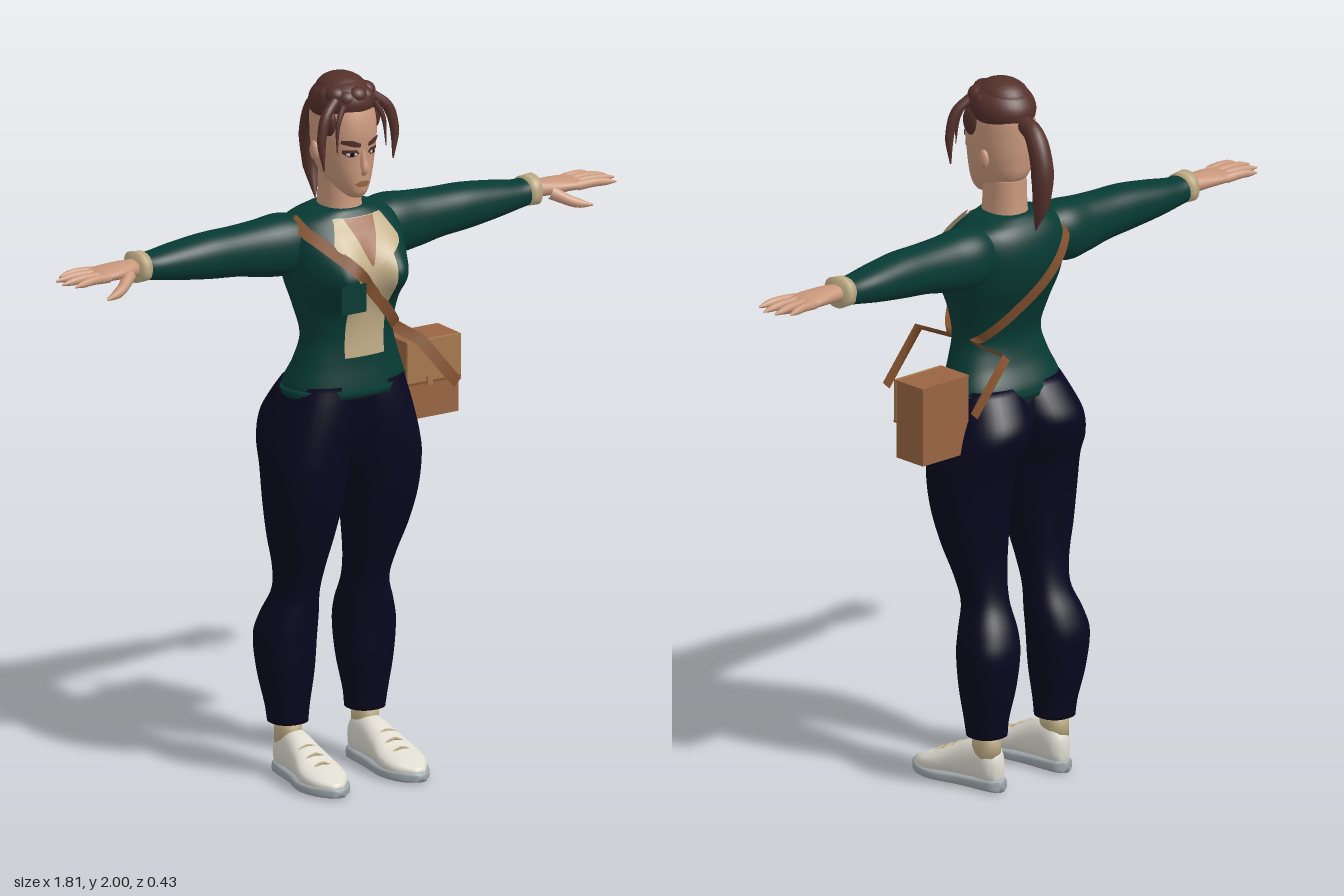
import * as THREE from 'three';

const mat = (name, color, side = THREE.FrontSide) => {
  const m = new THREE.MeshStandardMaterial({ color, side });
  m.name = name;
  return m;
};

// Smooth interpolation of a table of rows [t, a0, a1, b0, b1]
function sample(rows, t) {
  let i = 0;
  while (i < rows.length - 2 && t > rows[i + 1][0]) i++;
  const r0 = rows[i], r1 = rows[i + 1], h = r1[0] - r0[0];
  const u = THREE.MathUtils.clamp((t - r0[0]) / h, 0, 1);
  const slope = (j, k) => {
    const p = rows[Math.max(0, j - 1)], n = rows[Math.min(rows.length - 1, j + 1)];
    return (n[k] - p[k]) / (n[0] - p[0]);
  };
  return [1, 2, 3, 4].map(k => {
    const m0 = slope(i, k) * h, m1 = slope(i + 1, k) * h, d = r1[k] - r0[k];
    return r0[k] + u * (m0 + u * (3 * d - 2 * m0 - m1 + u * (m0 + m1 - 2 * d)));
  });
}

// Capped superellipse loft along an axis; rows ascend in t and give bounds across it
function loft(rows, axis = 'y', { p = 2.3, steps = 40, segs = 36, bend } = {}) {
  const pos = [], idx = [], t0 = rows[0][0], t1 = rows.at(-1)[0];
  const put = (a, b, t) => {
    const v = axis === 'y' ? [a, t, b] : axis === 'x' ? [t, a, b] : [a, b, t];
    if (bend) v[2] += bend(...v);
    pos.push(...v);
  };
  const tri = (a, b, c) => axis === 'y' ? idx.push(a, c, b) : idx.push(a, b, c);
  const pw = v => Math.sign(v) * Math.abs(v) ** (2 / p);
  for (let i = 0; i <= steps; i++) {
    const t = t0 + (t1 - t0) * i / steps, [a0, a1, b0, b1] = sample(rows, t);
    for (let j = 0; j < segs; j++) {
      const q = j / segs * Math.PI * 2;
      put((a0 + a1) / 2 + (a1 - a0) / 2 * pw(Math.cos(q)), (b0 + b1) / 2 + (b1 - b0) / 2 * pw(Math.sin(q)), t);
      if (i < steps) {
        const a = i * segs + j, b = i * segs + (j + 1) % segs;
        tri(a, b, a + segs);
        tri(b, b + segs, a + segs);
      }
    }
  }
  for (const [r, base] of [[rows[0], 0], [rows.at(-1), steps * segs]]) {
    const c = pos.length / 3;
    put((r[1] + r[2]) / 2, (r[3] + r[4]) / 2, r[0]);
    for (let j = 0; j < segs; j++) {
      const a = base + j, b = base + (j + 1) % segs;
      base ? tri(c, a, b) : tri(c, b, a);
    }
  }
  return build(pos, idx);
}

function build(pos, idx) {
  const g = new THREE.BufferGeometry();
  g.setAttribute('position', new THREE.Float32BufferAttribute(pos, 3));
  g.setIndex(idx);
  g.computeVertexNormals();
  return g;
}

// Tapered tube through points
function sweep(points, radii, n = 16, sides = 10) {
  const curve = new THREE.CatmullRomCurve3(points.map(p => new THREE.Vector3(...p)));
  const g = new THREE.TubeGeometry(curve, n, 1, sides), P = g.attributes.position, v = new THREE.Vector3();
  for (let i = 0; i <= n; i++) {
    const c = curve.getPointAt(i / n), f = i / n * (radii.length - 1), k = Math.min(Math.floor(f), radii.length - 2);
    const r = THREE.MathUtils.lerp(radii[k], radii[k + 1], f - k);
    for (let j = 0; j <= sides; j++) {
      const q = i * (sides + 1) + j;
      v.fromBufferAttribute(P, q).sub(c).multiplyScalar(r).add(c);
      P.setXYZ(q, v.x, v.y, v.z);
    }
  }
  return g;
}

const ball = (x, y, z, rx, ry, rz) => new THREE.SphereGeometry(1, 24, 16).scale(rx, ry, rz).translate(x, y, z);
const box = (x0, x1, y0, y1, z0, z1) =>
  new THREE.BoxGeometry(x1 - x0, y1 - y0, z1 - z0).translate((x0 + x1) / 2, (y0 + y1) / 2, (z0 + z1) / 2);

function mirrored(geo) {
  const g = geo.clone().scale(-1, 1, 1), I = g.index;
  for (let i = 0; i < I.count; i += 3) {
    const a = I.getX(i);
    I.setX(i, I.getX(i + 1));
    I.setX(i + 1, a);
  }
  return g;
}

// Front (s=1) or back (s=-1) surface depth of a vertical loft
function surfZ(rows, x, y, s = 1, bend) {
  const [a0, a1, b0, b1] = sample(rows, y);
  const u = Math.min(1, Math.abs((x - (a0 + a1) / 2) / ((a1 - a0) / 2)));
  const z = (b0 + b1) / 2 + s * (b1 - b0) / 2 * (1 - u ** 2.3) ** (1 / 2.3);
  return z + (bend ? bend(x, y, z) : 0);
}

// Thin patch laid on a front surface; outline rows [y, x0, x1] ascend in y
function patch(base, outline, off, bend, ny = 20, nx = 12) {
  const pos = [], idx = [], y0 = outline[0][0], y1 = outline.at(-1)[0];
  for (let i = 0; i <= ny; i++) {
    const y = y0 + (y1 - y0) * i / ny;
    let k = 0;
    while (k < outline.length - 2 && y > outline[k + 1][0]) k++;
    const A = outline[k], B = outline[k + 1], u = (y - A[0]) / (B[0] - A[0]);
    const xa = A[1] + (B[1] - A[1]) * u, xb = A[2] + (B[2] - A[2]) * u;
    for (let j = 0; j <= nx; j++) {
      const x = xa + (xb - xa) * j / nx, a = i * (nx + 1) + j;
      pos.push(x, y, surfZ(base, x, y, 1, bend) + off);
      if (i < ny && j < nx) idx.push(a, a + 1, a + nx + 1, a + 1, a + nx + 2, a + nx + 1);
    }
  }
  return build(pos, idx);
}

// Flat strap of constant width direction
function ribbon(points, w) {
  const pos = [], idx = [];
  points.forEach(([x, y, z], i) => {
    pos.push(x - w * 0.72, y - w * 0.68, z, x + w * 0.72, y + w * 0.68, z);
    if (i) idx.push(2 * i - 2, 2 * i, 2 * i - 1, 2 * i - 1, 2 * i, 2 * i + 1);
  });
  return build(pos, idx);
}

const sym = (y, w, z0, z1) => [y, -w, w, z0, z1];
const TORSO = [sym(1.11, .182, -.115, .125), sym(1.14, .178, -.108, .122), sym(1.2, .155, -.078, .115),
  sym(1.27, .136, -.065, .113), sym(1.35, .15, -.09, .12), sym(1.43, .169, -.125, .13), sym(1.5, .176, -.14, .13),
  sym(1.56, .172, -.135, .108), sym(1.6, .145, -.115, .075), sym(1.625, .07, -.085, .058)];
const HEAD = [sym(1.664, .02, .04, .092), sym(1.68, .036, -.01, .103), sym(1.72, .059, -.072, .107),
  sym(1.78, .075, -.09, .107), sym(1.85, .08, -.095, .112), sym(1.91, .075, -.092, .1), sym(1.955, .055, -.07, .075),
  sym(1.98, .015, -.02, .02)];
const bust = (x, y, z) => z < 0.01 ? 0 : 0.066 * Math.min(1, z / 0.06) *
  (Math.exp(-(((x - .086) / .06) ** 2)) + Math.exp(-(((x + .086) / .06) ** 2))) * Math.exp(-(((y - 1.45) / .07) ** 2));

export function createModel() {
  const root = new THREE.Group();
  const D = THREE.DoubleSide;
  const teal = mat('teal jacket', 0x073a34, D), navy = mat('navy trousers', 0x08071f), skin = mat('skin', 0xc9987c),
    beige = mat('beige cloth', 0xc2af88, D), leather = mat('bag leather', 0x9a6543, D), tan = mat('bag flap', 0xa67a4d),
    strapM = mat('strap leather', 0x84522f, D), hair = mat('hair brown', 0x54302a, D),
    white = mat('shoe white', 0xdddad0), grey = mat('sole grey', 0x9ca5a9);
  const add = (name, geo, m) => {
    const mesh = new THREE.Mesh(geo, m);
    mesh.name = name;
    root.add(mesh);
  };
  const pair = (name, geo, m) => {
    add(name + 'Left', geo, m);
    add(name + 'Right', mirrored(geo), m);
  };

  // Jacket, shirt front and collar
  add('jacketBody', loft(TORSO, 'y', { bend: bust, steps: 60, segs: 64 }), teal);
  add('shirtFront', patch(TORSO, [[1.22, -.064, .064], [1.45, -.062, .062], [1.605, -.075, .075]], .006, bust), beige);
  add('neckOpening', patch(TORSO, [[1.485, -.004, .004], [1.605, -.05, .05]], .011, bust), leather);
  pair('collar', patch(TORSO, [[1.49, .016, .022], [1.535, .026, .1], [1.55, .03, .104], [1.61, .05, .075]], .018, bust), beige);
  add('hemBand', loft([sym(1.105, .184, -.117, .127), sym(1.13, .184, -.114, .127)], 'y', { steps: 2 }), teal);
  add('chestPocket', box(-.14, -.06, 1.38, 1.46, .208, .213), teal);

  // Sleeves and cuffs
  pair('sleeve', loft([[.1, 1.48, 1.6, -.1, .04], [.17, 1.445, 1.612, -.118, .045], [.25, 1.45, 1.606, -.108, .036],
    [.33, 1.465, 1.602, -.102, .032], [.42, 1.474, 1.6, -.1, .03], [.52, 1.487, 1.588, -.097, .02],
    [.6, 1.5, 1.576, -.088, .008], [.63, 1.505, 1.578, -.085, .005]], 'x'), teal);
  pair('cuff', loft([[.62, 1.502, 1.582, -.086, .006], [.655, 1.5, 1.586, -.085, .007]], 'x', { steps: 2 }), beige);

  // Hands
  pair('palm', loft([[.64, 1.52, 1.565, -.066, -.012], [.69, 1.522, 1.566, -.074, .004], [.75, 1.526, 1.562, -.082, .014],
    [.785, 1.528, 1.556, -.08, .014], [.795, 1.535, 1.55, -.07, .005]], 'x', { steps: 16, segs: 20 }), skin);
  [[-.07, -.084, .868], [-.044, -.054, .898], [-.018, -.016, .904], [.006, .022, .885]].forEach(([z0, z1, x], i) =>
    pair('finger' + (i + 1), sweep([[.765, 1.543, z0], [(.765 + x) / 2, 1.546, (z0 + z1) / 2], [x, 1.54, z1]],
      [.014, .0135, .0125, .011, .002], 10, 8), skin));
  pair('thumb', sweep([[.69, 1.535, -.005], [.735, 1.51, .025], [.765, 1.5, .036], [.795, 1.494, .042]], [.02, .016, .014, .003], 10, 8), skin);

  // Trousers: each leg runs up into the seat, with a filler between them
  add('hipFiller', loft([sym(.9, .03, -.06, .07), sym(1, .1, -.115, .106), sym(1.08, .16, -.115, .113), sym(1.14, .168, -.1, .115)]), navy);
  pair('trouserLeg', loft([[.155, .072, .18, -.128, -.02], [.2, .068, .187, -.132, -.016], [.3, .052, .206, -.155, -.005],
    [.4, .044, .214, -.165, 0], [.46, .044, .2, -.15, .004], [.53, .05, .177, -.118, .01], [.6, .045, .185, -.106, .032],
    [.7, .03, .212, -.106, .07], [.8, .015, .23, -.11, .1], [.9, .002, .236, -.124, .116], [.96, -.008, .23, -.154, .12],
    [1.03, -.016, .212, -.168, .122], [1.09, -.018, .19, -.14, .12], [1.14, -.018, .17, -.105, .115]], 'y', { steps: 70 }), navy);

  // Shoes and socks
  pair('sock', loft([[.09, .092, .16, -.115, -.03], [.17, .092, .16, -.115, -.03]], 'y', { steps: 2 }), beige);
  pair('shoeSole', loft([[-.128, .108, .135, 0, .034], [-.115, .09, .152, 0, .036], [0, .074, .176, 0, .034], [.08, .06, .2, 0, .034],
    [.13, .064, .196, 0, .034], [.17, .085, .175, 0, .032], [.197, .115, .15, .003, .026]], 'z', { p: 4 }), grey);
  pair('shoeUpper', loft([[-.122, .105, .138, .02, .09], [-.1, .087, .157, .015, .128], [-.04, .082, .165, .015, .138],
    [.03, .074, .18, .015, .11], [.09, .064, .196, .012, .078], [.14, .073, .186, .012, .06], [.188, .116, .15, .016, .038]], 'z'), white);
  [.03, .065, .1].forEach((z, i) => pair('lace' + (i + 1), sweep([[.1, .101 - i * .017, z], [.13, .11 - i * .016, z], [.158, .101 - i * .017, z]],
    [.004, .004], 6, 6), beige));

  // Neck, head and face
  add('neck', loft([sym(1.57, .066, -.085, .068), sym(1.63, .056, -.075, .055), sym(1.72, .052, -.072, .05)]), skin);
  add('head', loft(HEAD, 'y', { steps: 50 }), skin);
  pair('ear', ball(.08, 1.785, -.012, .011, .027, .017), skin);
  add('nose', sweep([[0, 1.81, .102], [0, 1.775, .11], [0, 1.745, .117], [0, 1.732, .104]], [.005, .009, .012, .005]), skin);
  pair('eyebrow', patch(HEAD, [[1.814, .012, .026], [1.824, .012, .06], [1.834, .035, .06]], .004, null, 6), hair);
  pair('eyeShadow', patch(HEAD, [[1.786, .026, .042], [1.796, .014, .056], [1.806, .022, .056]], .002, null, 6), hair);
  pair('eyeWhite', patch(HEAD, [[1.789, .028, .042], [1.794, .02, .049], [1.798, .024, .047]], .004, null, 6), white);
  pair('iris', patch(HEAD, [[1.789, .03, .04], [1.799, .03, .04]], .006, null, 4), navy);
  add('lips', patch(HEAD, [[1.698, -.012, .012], [1.707, -.025, .025], [1.715, -.01, .01]], .003, null, 6), leather);

  // Hair: swept cap, top knot, tufts, loose strands and ponytail
  add('hairCap', new THREE.SphereGeometry(1, 32, 24).scale(.088, .07, .102).rotateX(-.14).translate(0, 1.92, .002), hair);
  add('topKnot', ball(0, 1.947, 0, .07, .052, .08), hair);
  for (let i = 0; i < 7; i++) {
    const a = Math.PI * (i / 6);
    add('hairTuft' + i, ball(Math.cos(a) * .054, 1.942 + .008 * (i % 2), .015 + Math.sin(a) * .058, .03, .026, .03), hair);
  }
  pair('templeHair', ball(.072, 1.88, .045, .016, .042, .03), hair);
  pair('frontStrand', sweep([[.06, 1.94, .06], [.1, 1.905, .075], [.119, 1.84, .082], [.113, 1.755, .085]], [.014, .015, .012, .002]), hair);
  pair('thinStrand', sweep([[.05, 1.93, .085], [.074, 1.88, .095], [.08, 1.8, .1]], [.01, .006, .001]), hair);
  add('ponytail', sweep([[0, 1.89, -.085], [.01, 1.868, -.14], [.02, 1.79, -.18], [.022, 1.69, -.18], [.015, 1.6, -.15]],
    [.024, .03, .032, .024, .002], 24, 14), hair);

  // Shoulder strap, front and back, with loose ends hanging over the bag
  for (const s of [1, -1]) {
    const pts = [[-.158, 1.603, 0]];
    for (let i = 0; i <= 20; i++) {
      const x = -.15 + .28 * i / 20, y = 1.575 - .305 * i / 20;
      pts.push([x, y, surfZ(TORSO, x, y, s, bust) + s * .013]);
    }
    const z = s > 0 ? .195 : -.156;
    pts.push([.13, 1.262, z], [.25, 1.12, z]);
    add(s > 0 ? 'strapFront' : 'strapBack', ribbon(pts, .017), strapM);
  }

  // Shoulder bag
  add('bagBody', box(.19, .36, .98, 1.2, -.07, .035), leather);
  add('bagFlap', box(.188, .362, 1.085, 1.203, .035, .044), tan);
  add('bagLid', box(.188, .362, 1.197, 1.203, -.07, .035), leather);
  add('bagTrim', box(.188, .362, 1.08, 1.086, .035, .045), strapM);
  add('bagClasp', box(.25, .266, 1.075, 1.1, .044, .05), tan);
  return root;
}
